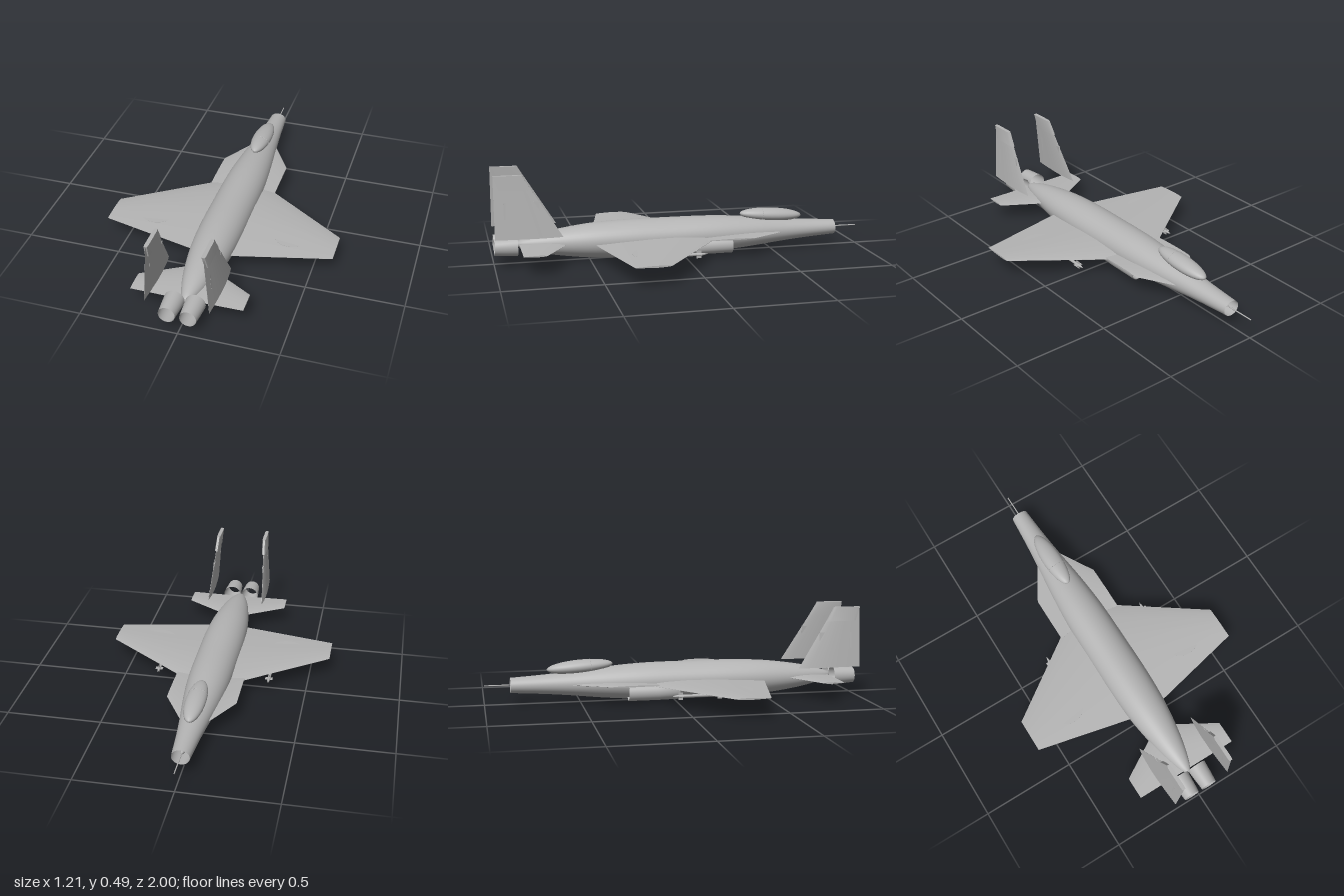
import * as THREE from 'three';
import { toCreasedNormals } from 'three/addons/utils/BufferGeometryUtils.js';

const grey = new THREE.MeshStandardMaterial({ color: 0xb4b4b4, side: THREE.DoubleSide });
grey.name = 'airframe grey';

const LENS = [[0, 0.04], [0.05, 0.35], [0.15, 0.7], [0.35, 1], [0.55, 0.92], [0.8, 0.5], [1, 0.05]];
const SLAB = [[0, 0.6], [0.12, 1], [0.9, 1], [1, 0.8]];

// Lofts a tapered panel through sections [x, y, zLead, zTrail, thickness]
function panel(sections, side, upright = false, profile = LENS) {
  const loop = [...profile, ...profile.map(([f, h]) => [f, -h]).reverse()];
  const n = loop.length, pos = [], idx = [];
  const tri = (a, b, c) => (side > 0 ? idx.push(a, b, c) : idx.push(a, c, b));
  for (const [x, y, z0, z1, t] of sections) {
    for (const [f, h] of loop) {
      const off = h * t / 2;
      pos.push(side * (upright ? x - off : x), upright ? y : y + off, z0 + (z1 - z0) * f);
    }
  }
  for (let s = 0; s < sections.length - 1; s++) {
    for (let i = 0; i < n; i++) {
      const a = s * n + i, b = s * n + (i + 1) % n;
      tri(a, b, b + n);
      tri(a, b + n, a + n);
    }
  }
  const top = (sections.length - 1) * n;
  for (let i = 1; i < n - 1; i++) {
    tri(0, i + 1, i);
    tri(top, top + i, top + i + 1);
  }
  const g = new THREE.BufferGeometry();
  g.setAttribute('position', new THREE.Float32BufferAttribute(pos, 3));
  g.setIndex(idx);
  return toCreasedNormals(g, 0.6);
}

// Body of revolution along z from [z, radius] stations
function spun(stations, segments = 32) {
  const g = new THREE.LatheGeometry(stations.map(([z, r]) => new THREE.Vector2(r, z)), segments);
  return g.rotateX(Math.PI / 2);
}

export function createModel() {
  const model = new THREE.Group();
  model.name = 'jet';
  const add = (name, geometry, x = 0, y = 0, z = 0) => {
    const m = new THREE.Mesh(geometry, grey);
    m.name = name;
    m.position.set(x, y, z);
    model.add(m);
    return m;
  };

  // Fuselage, open at the nose
  const hull = new THREE.SplineCurve([
    [0.046, -0.865], [0.058, -0.7], [0.073, -0.55], [0.097, -0.35], [0.112, -0.15], [0.115, 0.1],
    [0.115, 0.3], [0.106, 0.48], [0.086, 0.63], [0.062, 0.75], [0.032, 0.845], [0.012, 0.88],
  ].map(([r, z]) => new THREE.Vector2(r, z))).getPoints(44).map((p) => [p.y, p.x]);
  add('fuselage', spun([...hull, [0.885, 0]], 40).scale(1, 0.865, 1), 0, 0.102);

  // Nose probe on a small inlet cone
  add('noseProbe', spun([[-1, 0], [-0.999, 0.003], [-0.7, 0.004]], 8), 0, 0.104);
  add('inletCone', spun([[-0.84, 0.003], [-0.76, 0.03], [-0.7, 0.05]], 20), 0, 0.102);

  // Canopy and the thin frame across it
  const canopy = add('canopy', new THREE.SphereGeometry(1, 32, 20).scale(0.052, 0.036, 0.175), 0, 0.19, -0.5);
  canopy.rotation.x = -0.07;
  const frame = add('canopyFrame', new THREE.TorusGeometry(1, 0.025, 6, 32).scale(0.0495, 0.0342, 0.05), 0, 0.194, -0.445);
  frame.rotation.x = -0.07;

  for (const s of [1, -1]) {
    const side = s > 0 ? 'left' : 'right';

    // Wing and its round marking
    add(side + 'Wing', panel([
      [0.04, 0.096, -0.21, 0.495, 0.045],
      [0.11, 0.097, -0.16, 0.48, 0.04],
      [0.606, 0.105, 0.19, 0.37, 0.01],
    ], s));
    const disc = add(side + 'WingRoundel', new THREE.CylinderGeometry(0.1, 0.1, 0.002, 40), s * 0.367, 0.108, 0.24);
    disc.rotation.z = s * -0.008;

    // Forward strake
    add(side + 'Strake', panel([
      [0.05, 0.104, -0.58, -0.1, 0.022],
      [0.07, 0.104, -0.55, -0.12, 0.02],
      [0.182, 0.106, -0.355, -0.1, 0.008],
    ], s));

    // Tailplane
    add(side + 'Tailplane', panel([
      [0.02, 0.103, 0.6, 0.868, 0.02],
      [0.08, 0.103, 0.63, 0.868, 0.018],
      [0.285, 0.105, 0.75, 0.868, 0.008],
    ], s));

    // Upright fin with a thicker cap and a side panel
    add(side + 'Fin', panel([
      [0.16, 0.167, 0.655, 0.998, 0.022],
      [0.137, 0.485, 0.853, 0.998, 0.01],
    ], s, true));
    add(side + 'FinCap', panel([
      [0.142, 0.415, 0.812, 0.972, 0.022],
      [0.137, 0.49, 0.855, 0.998, 0.02],
    ], s, true, SLAB));
    const plate = add(side + 'FinPanel', new THREE.BoxGeometry(0.009, 0.085, 0.18), s * 0.1495, 0.312, 0.86);
    plate.rotation.z = s * 0.072;

    // Intake pod below the strake, open at the front
    add(side + 'IntakePod', spun([
      [-0.1, 0.036], [-0.255, 0.038], [-0.255, 0.043], [-0.1, 0.043], [0.015, 0.041], [0.015, 0],
    ]), s * 0.086, 0.055);

    // Engine nozzle, an open tapered tube
    add(side + 'Nozzle', spun([[0.88, 0.051], [0.94, 0.047], [0.998, 0.042]]), s * 0.053, 0.104);

    // Missile under the wing with two sets of crossed fins and a pylon
    add(side + 'Missile', spun([[-0.065, 0], [-0.05, 0.005], [-0.03, 0.008], [0.2, 0.008], [0.2, 0]], 12), s * 0.302, 0.07);
    for (const z of [-0.02, 0.185]) {
      add(side + 'MissileFinsAcross', new THREE.BoxGeometry(0.04, 0.002, 0.025), s * 0.302, 0.07, z);
      add(side + 'MissileFinsUpright', new THREE.BoxGeometry(0.002, 0.04, 0.025), s * 0.302, 0.07, z);
    }
    add(side + 'Pylon', new THREE.BoxGeometry(0.006, 0.02, 0.1), s * 0.302, 0.084, 0.12);
  }
  return model;
}
